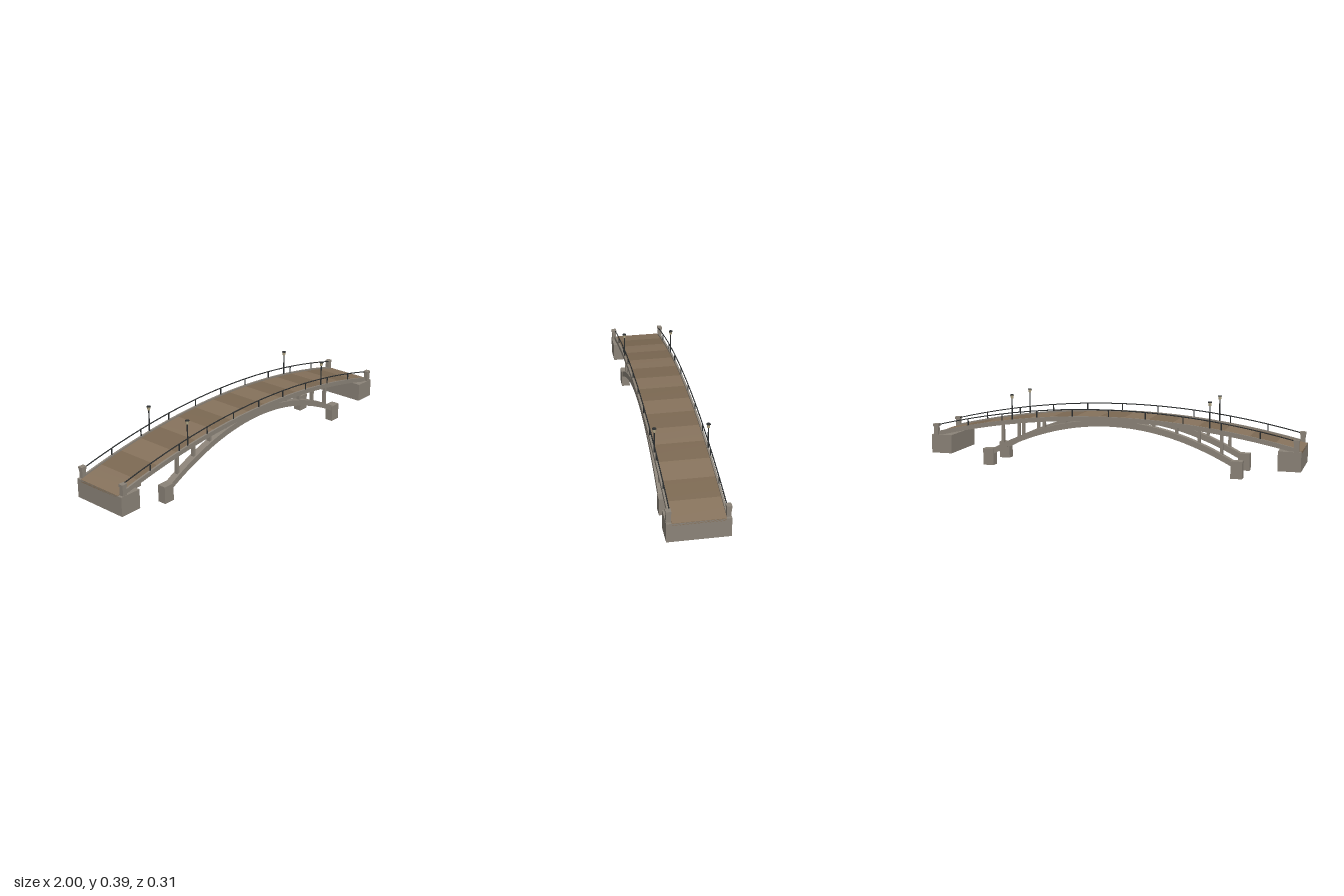
import * as THREE from 'three';
import { toCreasedNormals } from 'three/addons/utils/BufferGeometryUtils.js';

const mat = (color) => new THREE.MeshStandardMaterial({ color });
const stone = mat(0x8b8378);
const woods = [mat(0x86725c), mat(0x7b6852)];
const metal = mat(0x2c2f30);
const glass = mat(0xb5a988);

// Height of each curved member along the span
const deckY = (x) => 0.281 - 0.124 * x * x;
const railY = (x) => 0.325 - 0.125 * x * x;
const archY = (x) => 0.27 - 0.42 * x * x;

export function createModel() {
  const model = new THREE.Group();

  const add = (name, geometry, material, x = 0, y = 0, z = 0) => {
    const mesh = new THREE.Mesh(geometry, material);
    mesh.name = name;
    mesh.position.set(x, y, z);
    model.add(mesh);
    return mesh;
  };

  // Box given by its centre in x and z and by its bottom and top
  const block = (name, material, x, z, w, d, y0, y1) =>
    add(name, new THREE.BoxGeometry(w, y1 - y0, d), material, x, (y0 + y1) / 2, z);

  // Curved band whose top follows topY, centred on z
  const band = (name, material, topY, x0, x1, thick, z, depth, n) => {
    const shape = new THREE.Shape();
    shape.moveTo(x0, topY(x0) - thick);
    for (let i = 1; i <= n; i++) {
      const x = x0 + ((x1 - x0) * i) / n;
      shape.lineTo(x, topY(x) - thick);
    }
    for (let i = n; i >= 0; i--) {
      const x = x0 + ((x1 - x0) * i) / n;
      shape.lineTo(x, topY(x));
    }
    const geo = new THREE.ExtrudeGeometry(shape, { depth, bevelEnabled: false });
    geo.translate(0, 0, z - depth / 2);
    add(name, toCreasedNormals(geo, 0.5), material);
  };

  // Deck boards in two alternating tones
  const boards = 15;
  for (let i = 0; i < boards; i++) {
    const x0 = -1 + (2 * i) / boards;
    band('deckBoard', woods[i % 2], deckY, x0, x0 + 2 / boards, 0.014, 0, 0.256, 2);
  }

  // Abutments
  for (const sx of [-1, 1]) block('abutment', stone, sx * 0.942, 0, 0.116, 0.306, 0.055, 0.155);

  for (const sz of [-1, 1]) {
    const zRail = sz * 0.133;
    const zArch = sz * 0.115;

    // Edge beam and arch rib
    band('edgeBeam', stone, (x) => deckY(x) + 0.008, -0.97, 0.97, 0.024, zRail, 0.01, 36);
    band('archRib', stone, archY, -0.66, 0.66, 0.032, zArch, 0.038, 36);

    // Handrail
    const points = [];
    for (let i = 0; i <= 24; i++) {
      const x = -0.97 + (1.94 * i) / 24;
      points.push(new THREE.Vector3(x, railY(x), zRail));
    }
    add('handrail', new THREE.TubeGeometry(new THREE.CatmullRomCurve3(points), 48, 0.003, 6), metal);

    // Railing posts
    for (let i = -4; i <= 4; i++) {
      const x = i * 0.198;
      block('railingPost', metal, x, zRail, 0.005, 0.005, deckY(x), railY(x));
    }

    for (const sx of [-1, 1]) {
      // End pillar with cap
      block('endPillar', stone, sx * 0.975, sz * 0.1405, 0.024, 0.022, 0.15, 0.2);
      block('pillarCap', stone, sx * 0.975, sz * 0.1405, 0.03, 0.026, 0.2, 0.214);

      // Arch footing
      block('archFooting', stone, sx * 0.675, zArch, 0.06, 0.046, 0, 0.09);

      // Columns from the arch up to the deck
      for (const x of [0.24, 0.36, 0.478, 0.595])
        block('spandrelColumn', stone, sx * x, zArch, 0.014, 0.018, archY(x) - 0.012, deckY(x) - 0.006);

      // Lamp: pole, lantern and lid
      const x = sx * 0.535;
      const y0 = deckY(x) - 0.01;
      add('lampPole', new THREE.CylinderGeometry(0.003, 0.004, 0.37 - y0, 8), metal, x, (y0 + 0.37) / 2, zRail);
      add('lantern', new THREE.CylinderGeometry(0.0085, 0.007, 0.018, 8), glass, x, 0.376, zRail);
      add('lampLid', new THREE.CylinderGeometry(0.01, 0.011, 0.004, 12), metal, x, 0.386, zRail);
    }
  }
  return model;
}
